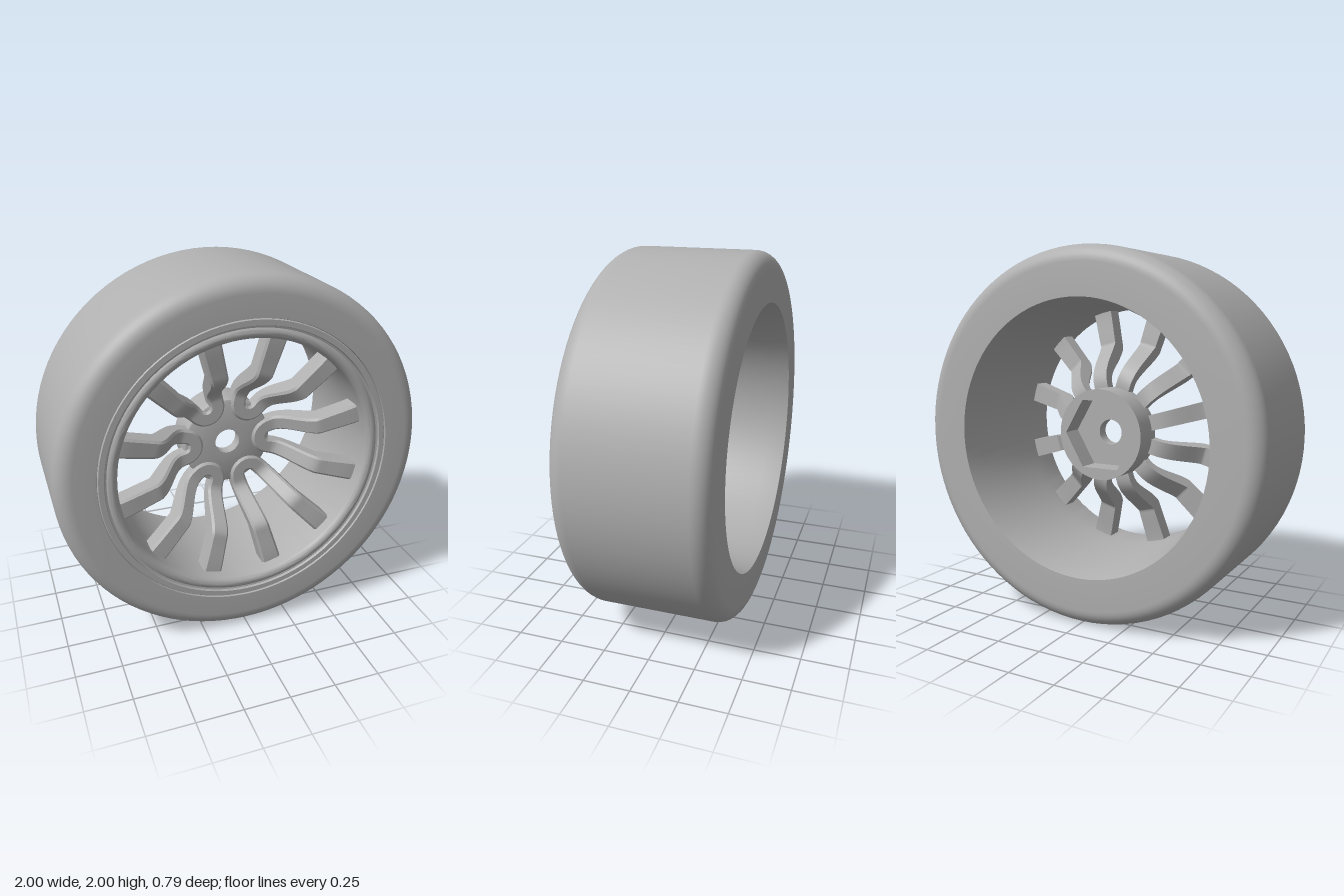
import * as THREE from 'three';
import { toCreasedNormals } from 'three/addons/utils/BufferGeometryUtils.js';

const grey = new THREE.MeshStandardMaterial({ color: 0xb0b0b0 });
grey.name = 'grey';

function addMesh(parent, name, geometry, crease = 0.6) {
  const mesh = new THREE.Mesh(toCreasedNormals(geometry, crease), grey);
  mesh.name = name;
  parent.add(mesh);
  return mesh;
}

// Revolves [radius, z] points around the z axis
function ring(profile, segments = 96) {
  const points = profile.map(([r, z]) => new THREE.Vector2(r, z));
  return new THREE.LatheGeometry(points, segments).rotateX(Math.PI / 2);
}

// Rounded corner, as [radius, z] points
function corner(r, z, size, from, to, steps = 8) {
  return Array.from({ length: steps + 1 }, (_, i) => {
    const a = from + ((to - from) * i) / steps;
    return [r + size * Math.cos(a), z + size * Math.sin(a)];
  });
}

// Sweeps a bevelled bar along stations of { point, halfWidth, thickness }
function sweepBar(stations, bevel) {
  const positions = [], index = [], sides = 6;
  stations.forEach(({ point, halfWidth: w, thickness }, i) => {
    const t = stations[Math.min(i + 1, stations.length - 1)].point.clone()
      .sub(stations[Math.max(i - 1, 0)].point).normalize();
    const s = new THREE.Vector3(-t.y, t.x, 0).normalize();
    const n = t.clone().cross(s);
    const section = [
      [-w, -thickness], [w, -thickness], [w, -bevel],
      [w - bevel, 0], [bevel - w, 0], [-w, -bevel],
    ];
    for (const [a, b] of section) {
      const v = point.clone().addScaledVector(s, a).addScaledVector(n, b);
      positions.push(v.x, v.y, v.z);
    }
    if (i === 0) return;
    for (let j = 0; j < sides; j++) {
      const k = (j + 1) % sides, o = (i - 1) * sides, q = i * sides;
      index.push(o + j, o + k, q + j, o + k, q + k, q + j);
    }
  });
  const geometry = new THREE.BufferGeometry();
  geometry.setAttribute('position', new THREE.Float32BufferAttribute(positions, 3));
  geometry.setIndex(index);
  return geometry;
}

// Two spokes joined by a U-shaped bend on the hub
function spokePair() {
  const tilt = Math.PI / 12, bendCentre = 0.25;
  const bendRadius = bendCentre * Math.sin(tilt), start = bendCentre * Math.cos(tilt);
  const end = 0.71, hubZ = 0.062, hubThickness = 0.07, steps = 24;
  const stations = [];
  const arm = (side, i) => {
    const r = start + ((end - start) * i) / steps;
    const ramp = THREE.MathUtils.smoothstep(r, 0.27, 0.47);
    const z = hubZ + 0.215 * ramp + 0.03 * THREE.MathUtils.smoothstep(r, 0.4, end);
    stations.push({
      point: new THREE.Vector3(r * Math.cos(tilt), side * r * Math.sin(tilt), z),
      halfWidth: 0.042 + (0.014 * i) / steps,
      thickness: hubThickness + 0.03 * ramp,
    });
  };
  for (let i = steps; i >= 0; i--) arm(1, i);
  const from = Math.PI / 2 + tilt, sweep = Math.PI - 2 * tilt;
  for (let i = 1; i < 10; i++) {
    const a = from + (sweep * i) / 10;
    stations.push({
      point: new THREE.Vector3(
        bendCentre + bendRadius * Math.cos(a), bendRadius * Math.sin(a), hubZ),
      halfWidth: 0.042,
      thickness: hubThickness,
    });
  }
  for (let i = 0; i <= steps; i++) arm(-1, i);
  return sweepBar(stations, 0.012);
}

export function createModel() {
  const model = new THREE.Group();
  model.name = 'wheel';
  const wheel = new THREE.Group();
  wheel.name = 'wheelAssembly';
  wheel.position.y = 1;
  model.add(wheel);

  // Tyre with rounded shoulders
  const half = 0.393, round = 0.09, rearRadius = 0.735;
  addMesh(wheel, 'tyre', ring([
    [rearRadius, -half],
    ...corner(1 - round, -half + round, round, -Math.PI / 2, 0),
    ...corner(1 - round, half - round, round, 0, Math.PI / 2),
    [0.793, half], [0.79, 0.383],
  ]));

  // Rim: flat front flange, rounded bead, tapered barrel and rear chamfer
  addMesh(wheel, 'rim', ring([
    [0.79, 0.383], [0.785, 0.39], [0.757, 0.39], [0.753, 0.378],
    ...corner(0.719, 0.352, 0.034, Math.PI * 0.25, Math.PI, 10),
    [0.685, 0.15], [0.712, -0.29], [rearRadius, -half],
  ]), 0.5);

  // Hub plate with axle hole
  addMesh(wheel, 'hubPlate', ring([
    [0.07, -0.02], [0.25, -0.02], [0.25, 0.03], [0.245, 0.042], [0.235, 0.047],
    [0.07, 0.047], [0.07, -0.02],
  ], 64));

  // Rear hub collar with hexagonal socket
  const collar = new THREE.Shape().absarc(0, 0, 0.25, 0, Math.PI * 2);
  const socket = new THREE.Path();
  for (let i = 0; i < 6; i++) {
    const a = (-i * Math.PI) / 3;
    socket[i ? 'lineTo' : 'moveTo'](0.215 * Math.cos(a), 0.215 * Math.sin(a));
  }
  socket.closePath();
  collar.holes.push(socket);
  addMesh(wheel, 'hubCollar', new THREE.ExtrudeGeometry(collar, {
    depth: 0.125, bevelEnabled: false, curveSegments: 32,
  }).translate(0, 0, -0.145));

  // Six spoke pairs
  const pair = spokePair();
  for (let i = 0; i < 6; i++) {
    addMesh(wheel, 'spokePair', pair).rotation.z = (i * Math.PI) / 3;
  }
  return model;
}
